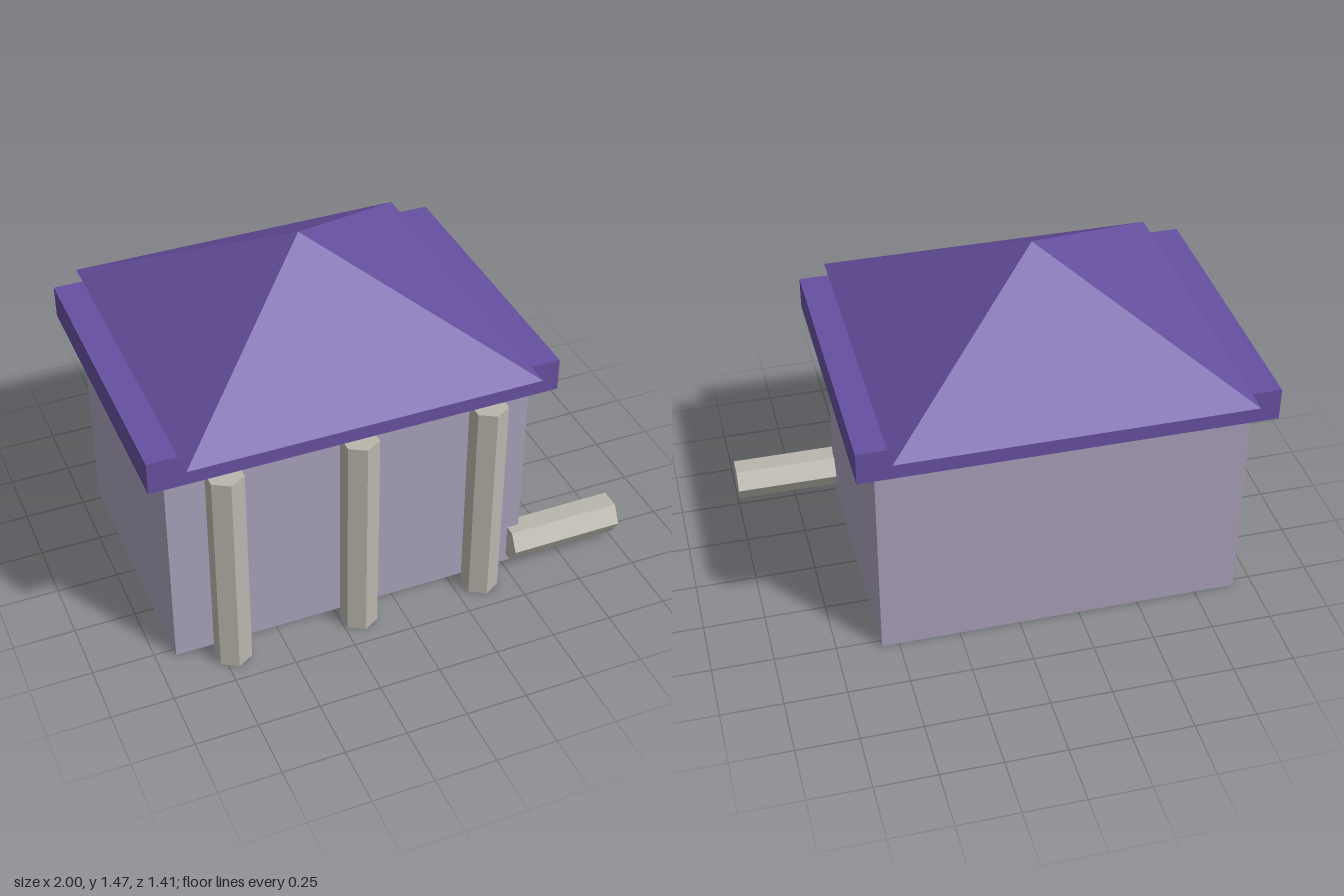
import * as THREE from 'three';

export function createModel() {
  const model = new THREE.Group();
  const material = (name, color) => {
    const m = new THREE.MeshStandardMaterial({ color, flatShading: true });
    m.name = name;
    return m;
  };
  const roofPurple = material('roof purple', 0x6650a0);
  const wallLilac = material('wall lilac', 0xa79fb8);
  const stone = material('column stone', 0xb9b6ad);

  const add = (name, geometry, mat, x, y, z) => {
    const mesh = new THREE.Mesh(geometry, mat);
    mesh.name = name;
    mesh.position.set(x, y, z);
    model.add(mesh);
    return mesh;
  };

  const cx = -0.175; // centre line of the building
  const wallTop = 0.91, slabTop = 1.045, apex = 1.465;

  // Main hall and the overhanging slab above it
  add('hall', new THREE.BoxGeometry(1.49, wallTop, 1.065), wallLilac, cx, wallTop / 2, 0);
  add('roofSlab', new THREE.BoxGeometry(1.65, slabTop - wallTop, 1.225), roofPurple,
    cx, (slabTop + wallTop) / 2, 0);

  // Four-sided pyramid roof
  const pyramid = new THREE.ConeGeometry(0.705 * Math.SQRT2, apex - slabTop, 4);
  pyramid.rotateY(Math.PI / 4);
  add('pyramidRoof', pyramid, roofPurple, cx, (apex + slabTop) / 2, 0);

  // Hexagonal columns along the front
  const columnGeometry = new THREE.CylinderGeometry(0.075, 0.075, wallTop, 6);
  for (let i = -1; i <= 1; i++) {
    add('column', columnGeometry, stone, cx + i * 0.535, wallTop / 2, 0.61);
  }

  // Broken column lying beside the corner
  const fallen = new THREE.CylinderGeometry(0.083, 0.083, 0.48, 6);
  fallen.rotateZ(Math.PI / 2);
  add('fallenColumn', fallen, stone, 0.76, 0.108, 0.533);

  return model;
}
